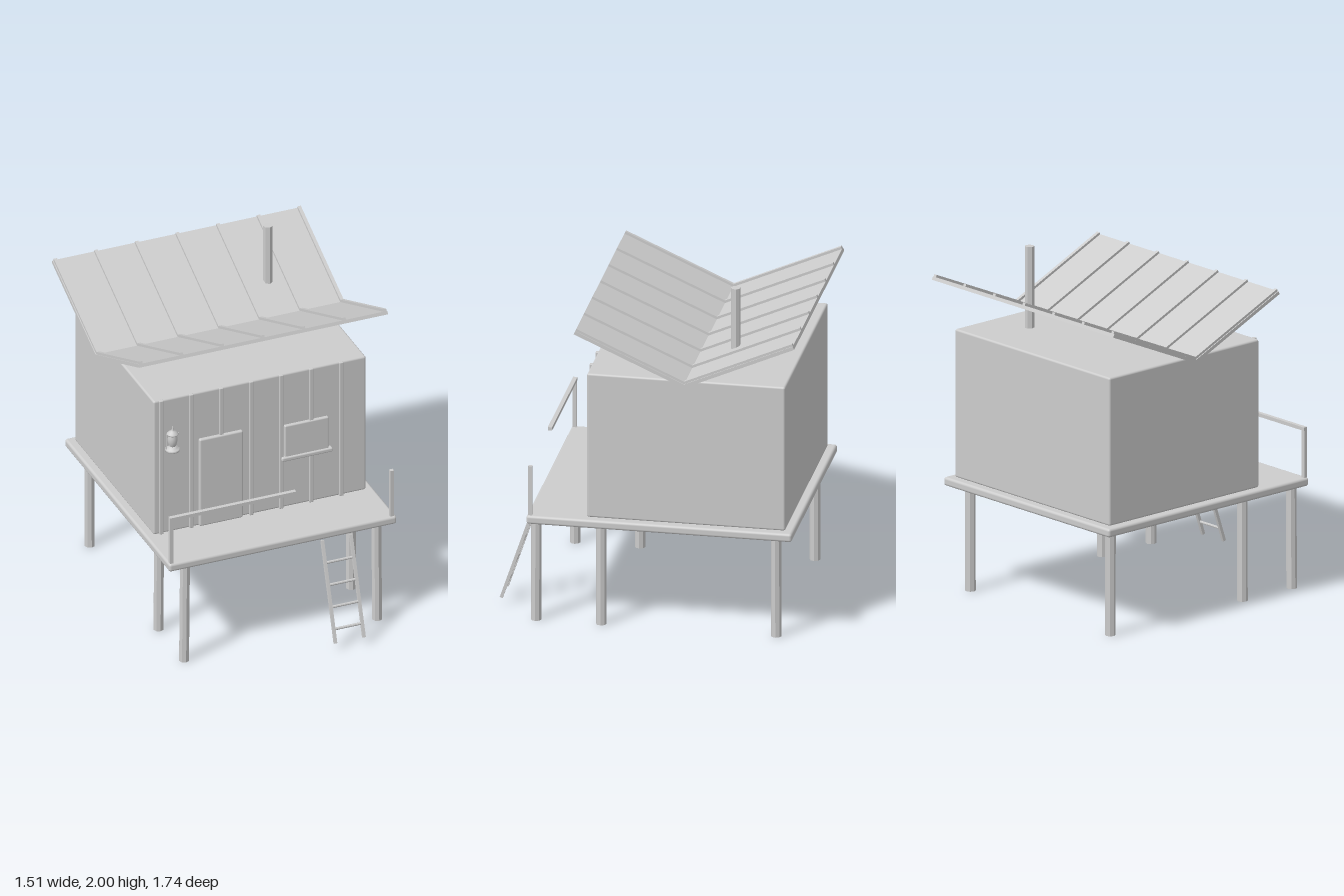
import * as THREE from 'three';
import { RoundedBoxGeometry } from 'three/addons/geometries/RoundedBoxGeometry.js';

export function createModel() {
  const group = new THREE.Group();
  const grey = new THREE.MeshStandardMaterial({ color: 0xcccccc });
  grey.name = 'plainGrey';

  const add = (name, geometry, x = 0, y = 0, z = 0) => {
    const mesh = new THREE.Mesh(geometry, grey);
    mesh.name = name;
    mesh.position.set(x, y, z);
    group.add(mesh);
    return mesh;
  };
  // Rounded box given by its extents on each axis
  const block = (name, [x0, x1], [y0, y1], [z0, z1], r) =>
    add(name, new RoundedBoxGeometry(x1 - x0, y1 - y0, z1 - z0, 3, r),
      (x0 + x1) / 2, (y0 + y1) / 2, (z0 + z1) / 2);
  // Faceted round bar
  const pole = (r, h, sides) => new THREE.CylinderGeometry(r, r, h, sides).toNonIndexed();
  const faceted = (geometry) => { geometry.computeVertexNormals(); return geometry; };

  // Platform and cabin
  block('deck', [-0.69, 0.69], [0.61, 0.66], [-0.845, 0.665], 0.015);
  block('cabin', [-0.645, 0.645], [0.66, 1.525], [-0.8, 0.328], 0.012);

  // Stilts, leaning very slightly
  [0.627, 0.257, -0.738].forEach((z, i) => {
    for (const side of [-1, 1]) {
      const stilt = faceted(pole(0.03, 0.62, 8));
      const p = stilt.attributes.position;
      for (let k = 0; k < p.count; k++) p.setX(k, p.getX(k) + side * 0.006 * p.getY(k) * (i - 1.5));
      add('stilt', stilt, side * 0.583, 0.31, z);
    }
  });

  // Battens on the front wall
  for (let i = 0; i < 7; i++) {
    const x = -0.6 + i * 0.182;
    block('batten', [x - 0.012, x + 0.012], [0.66, 1.525], [0.318, 0.34], 0.004);
  }
  block('door', [-0.372, -0.108], [0.662, 1.225], [0.32, 0.347], 0.01);
  block('windowPane', [0.145, 0.412], [0.985, 1.195], [0.32, 0.346], 0.008);
  block('windowSill', [0.125, 0.432], [0.97, 0.996], [0.32, 0.357], 0.008);

  // Butterfly roof: V-shaped strips extruded along x, between two heights above the underside
  const angle = 0.417, length = 0.686, c = Math.cos(angle), s = Math.sin(angle);
  const roofStrip = (name, x, width, low, high) => {
    const end = (b) => [length * c - b * s, length * s + b * c];
    const [lx, ly] = end(low), [hx, hy] = end(high);
    const shape = new THREE.Shape([
      [0, low / c], [lx, ly], [hx, hy], [0, high / c], [-hx, hy], [-lx, ly],
    ].map(([a, b]) => new THREE.Vector2(a, b)));
    const geometry = new THREE.ExtrudeGeometry(shape, { depth: width, bevelEnabled: false });
    geometry.translate(0, 0, -width / 2).rotateY(-Math.PI / 2);
    add(name, geometry, x, 1.524, -0.245);
  };
  roofStrip('roof', 0, 1.51, 0, 0.02);
  for (let i = -3; i <= 3; i++) roofStrip('roofRib', i * 0.2465, 0.02, 0.018, 0.034);

  add('chimney', faceted(pole(0.027, 0.48, 7)), 0.386, 1.76, -0.47);

  // Railing
  for (const x of [-0.672, 0.665]) add('railPost', new THREE.BoxGeometry(0.022, 0.295, 0.022), x, 0.8075, 0.645);
  add('handrail', new THREE.BoxGeometry(0.766, 0.02, 0.024), -0.3, 0.945, 0.644);

  // Ladder leaning on the deck edge
  const topZ = 0.668, topY = 0.61, footZ = 0.858, footY = 0.045;
  const lean = Math.atan2(topZ - footZ, topY - footY);
  for (const x of [0.235, 0.408]) {
    add('ladderRail', new THREE.BoxGeometry(0.017, Math.hypot(topY - footY, topZ - footZ), 0.018),
      x, (topY + footY) / 2, (topZ + footZ) / 2).rotation.x = lean;
  }
  for (const y of [0.122, 0.243, 0.364, 0.486]) {
    const z = topZ + (footZ - topZ) * (topY - y) / (topY - footY);
    add('ladderRung', faceted(pole(0.008, 0.173, 8)).rotateZ(Math.PI / 2), 0.3215, y, z);
  }

  // Wall lantern
  const lantern = new THREE.Group();
  lantern.name = 'lantern';
  lantern.position.set(-0.543, 1.205, 0.36);
  group.add(lantern);
  const lanternPart = (name, points) => {
    const mesh = new THREE.Mesh(
      new THREE.LatheGeometry(points.map(([r, y]) => new THREE.Vector2(r, y)), 14), grey);
    mesh.name = name;
    lantern.add(mesh);
  };
  lanternPart('lanternBase', [[0, 0], [0.04, 0], [0.042, 0.006], [0.04, 0.014], [0.024, 0.018], [0.02, 0.03], [0, 0.03]]);
  lanternPart('lanternGlass', [[0.014, 0.025], [0.023, 0.04], [0.028, 0.065], [0.027, 0.085], [0.022, 0.108]]);
  lanternPart('lanternCap', [[0, 0.104], [0.033, 0.104], [0.033, 0.11], [0.022, 0.12], [0.012, 0.127], [0.005, 0.133], [0.003, 0.158], [0, 0.16]]);
  for (const x of [-0.036, 0.036]) {
    const wire = new THREE.Mesh(new THREE.CylinderGeometry(0.003, 0.003, 0.1, 6), grey);
    wire.name = 'lanternWire';
    wire.position.set(x * 0.98, 0.06, 0);
    lantern.add(wire);
  }
  return group;
}
